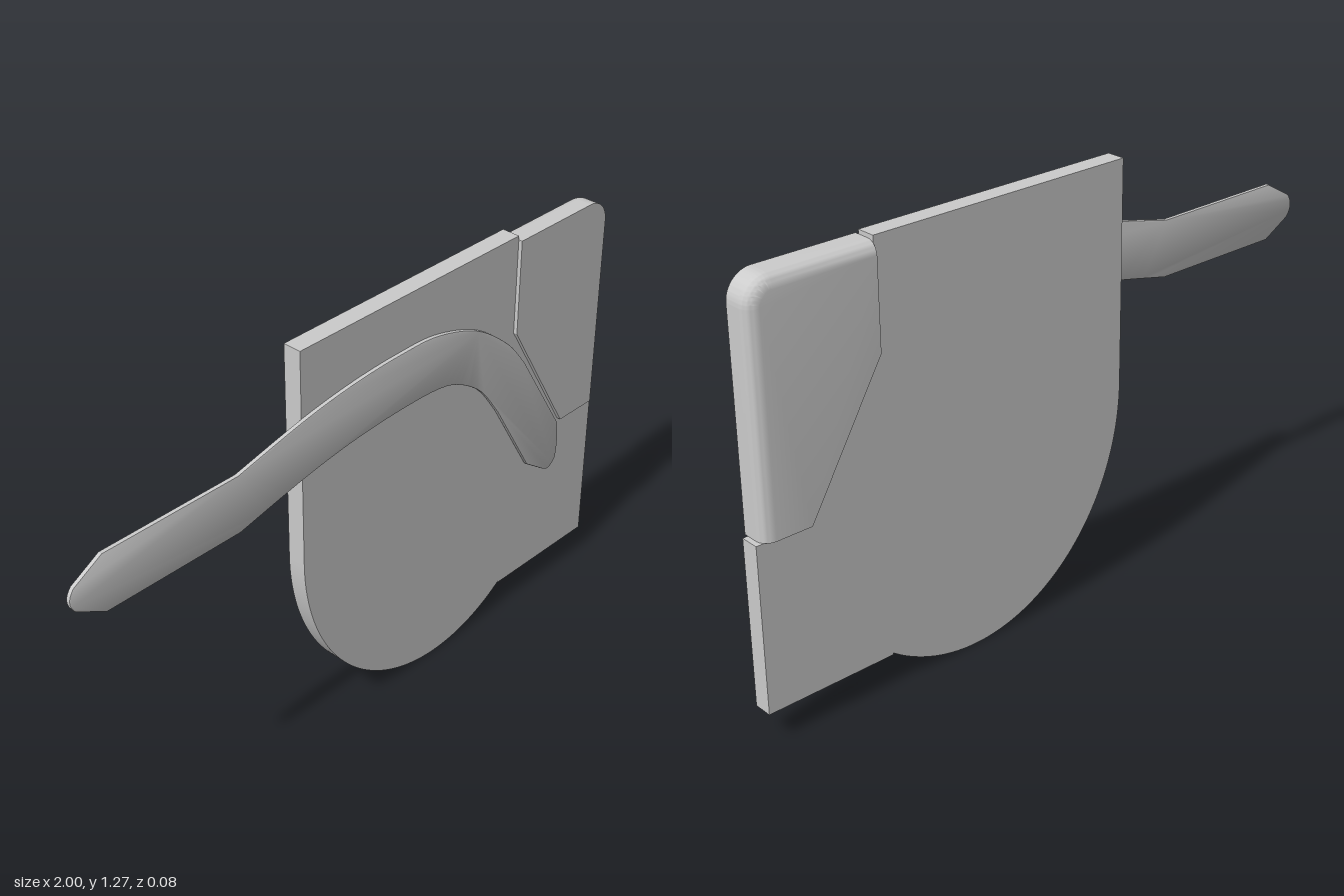
import * as THREE from 'three';
import { toCreasedNormals } from 'three/addons/utils/BufferGeometryUtils.js';

const material = new THREE.MeshStandardMaterial({ color: 0xcccccc });

function addPart(group, name, geometry) {
  const mesh = new THREE.Mesh(toCreasedNormals(geometry, 0.5), material);
  mesh.name = name;
  group.add(mesh);
}

const vectors = (points) => points.map(([x, y]) => new THREE.Vector2(x, y));

// Flat housing with a rounded bottom, a side foot and a notch for the corner cover
function housingGeometry() {
  const shape = new THREE.Shape();
  shape.moveTo(-0.23, 1.275);
  shape.lineTo(-0.23, 0.62);
  const end = Math.PI * 2 - Math.acos((0.6 - 0.31) / 0.54);
  shape.absellipse(0.31, 0.62, 0.54, 0.62, Math.PI, end, false);
  shape.lineTo(0.6, 0.092);
  shape.lineTo(0.998, 0.092);
  shape.lineTo(0.998, 0.58);
  shape.lineTo(0.84, 0.58);
  shape.lineTo(0.607, 0.972);
  shape.lineTo(0.607, 1.275);
  const geometry = new THREE.ExtrudeGeometry(shape, { depth: 0.056, bevelEnabled: false, curveSegments: 48 });
  return geometry.translate(0, 0, -0.027);
}

// Corner cover: its top and right edges roll over toward the back
function coverGeometry() {
  const R = 0.075, cx = 0.908, cy = 1.188, roll = 0.036, back = -0.041, depth = 0.082, steps = 24;
  const shape = new THREE.Shape();
  shape.moveTo(0.607, cy + R);
  shape.lineTo(0.607, 0.972);
  shape.lineTo(0.84, 0.58);
  shape.lineTo(cx + R, 0.58);
  shape.lineTo(cx + R, cy);
  shape.absarc(cx, cy, R, 0, Math.PI / 2, false);
  const geometry = new THREE.ExtrudeGeometry(shape, { depth, steps, bevelEnabled: false, curveSegments: 16 });
  const p = geometry.attributes.position;
  for (let i = 0; i < p.count; i++) {
    const x = p.getX(i), y = p.getY(i), z = p.getZ(i);
    const t = Math.max(0, 1 - z / roll);
    const k = 1 - (roll * (1 - Math.sqrt(1 - t * t))) / R;
    const qx = Math.min(x, cx), qy = Math.min(y, cy);
    p.setXYZ(i, qx + (x - qx) * k, qy + (y - qy) * k, z + back);
  }
  return geometry;
}

// Long curved strap lying on the front face
function strapGeometry() {
  const shape = new THREE.Shape();
  shape.moveTo(-0.895, 0.855);
  shape.lineTo(-0.462, 0.855);
  shape.splineThru(vectors([[-0.232, 0.905], [-0.05, 0.932], [0.125, 0.943], [0.275, 0.94],
    [0.365, 0.915], [0.46, 0.85], [0.54, 0.745]]));
  shape.lineTo(0.69, 0.492);
  shape.lineTo(0.775, 0.432);
  shape.quadraticCurveTo(0.805, 0.415, 0.827, 0.452);
  shape.quadraticCurveTo(0.838, 0.51, 0.825, 0.578);
  shape.lineTo(0.65, 0.862);
  shape.splineThru(vectors([[0.57, 0.957], [0.435, 1.056], [0.275, 1.109], [0.125, 1.116],
    [-0.05, 1.106], [-0.232, 1.079], [-0.462, 1.027]]));
  shape.lineTo(-0.895, 1.027);
  shape.lineTo(-0.985, 0.975);
  shape.quadraticCurveTo(-1.015, 0.94, -0.985, 0.905);
  const geometry = new THREE.ExtrudeGeometry(shape, {
    depth: 0.007, curveSegments: 8, bevelThickness: 0.003, bevelSize: 0.003, bevelOffset: -0.003, bevelSegments: 2,
  });
  return geometry.translate(0, 0, 0.032);
}

export function createModel() {
  const group = new THREE.Group();
  group.name = 'strapHousing';
  addPart(group, 'housing', housingGeometry());
  addPart(group, 'cornerCover', coverGeometry());
  addPart(group, 'strap', strapGeometry());
  return group;
}
